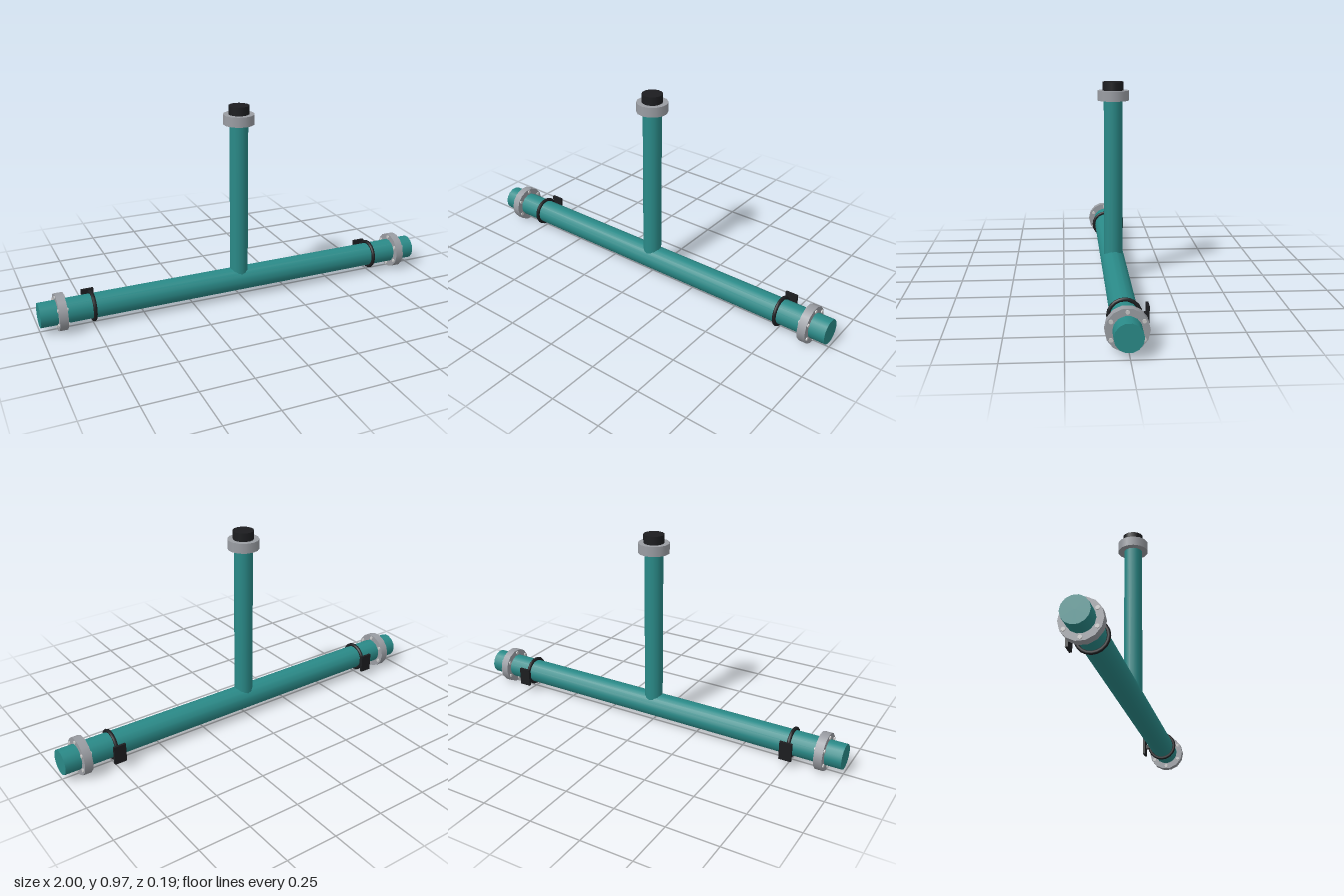
import * as THREE from 'three';

const SIDES = 14;
const PIPE_Y = 0.088;
const mat = (color) => new THREE.MeshStandardMaterial({ color });

export function createModel() {
  const model = new THREE.Group();
  model.name = 'pipeTee';
  const teal = mat(0x2a8a88), steel = mat(0x9a9da3), bolt = mat(0xc8cacc), black = mat(0x1c1d20);

  const add = (parent, name, geometry, material, x = 0, y = 0, z = 0) => {
    const mesh = new THREE.Mesh(geometry, material);
    mesh.name = name;
    mesh.position.set(x, y, z);
    parent.add(mesh);
    return mesh;
  };
  const upright = (r, h, sides = SIDES) => new THREE.CylinderGeometry(r, r, h, sides);
  const alongX = (r, l, sides = SIDES) => upright(r, l, sides).rotateZ(Math.PI / 2);

  // Everything is placed around the main pipe's axis
  const body = new THREE.Group();
  body.name = 'body';
  body.position.set(0, PIPE_Y, 0.005);
  model.add(body);

  add(body, 'mainPipe', alongX(0.06, 2), teal);

  // Vertical branch with collar and cap
  const yTop = (y) => y - PIPE_Y;
  add(body, 'riserPipe', upright(0.045, 0.82), teal, 0, yTop(0.5));
  add(body, 'riserCollar', upright(0.075, 0.048), steel, 0, yTop(0.91));
  add(body, 'riserCap', upright(0.05, 0.042), black, 0, yTop(0.954));

  for (const [side, s] of [['right', -1], ['left', 1]]) {
    // Bolted flange
    const flange = new THREE.Group();
    flange.name = side + 'Flange';
    flange.position.x = 0.9 * s;
    body.add(flange);
    add(flange, 'flangeDisc', alongX(0.09, 0.04), steel);
    for (let i = 0; i < 6; i++) {
      const a = (i / 6) * Math.PI * 2;
      add(flange, 'flangeBolt', alongX(0.009, 0.05, 8), bolt, 0, 0.075 * Math.cos(a), 0.075 * Math.sin(a));
    }

    // Clamp ring with wall bracket behind
    const clamp = new THREE.Group();
    clamp.name = side + 'Clamp';
    clamp.position.x = 0.75 * s;
    body.add(clamp);
    add(clamp, 'clampRing', new THREE.TorusGeometry(0.066, 0.009, 8, 20).rotateY(Math.PI / 2), black);
    add(clamp, 'bracketPost', new THREE.BoxGeometry(0.02, 0.02, 0.036), black, 0, 0, -0.076);
    add(clamp, 'bracketPlate', new THREE.BoxGeometry(0.06, 0.09, 0.012), black, 0, 0, -0.094);
  }
  return model;
}
